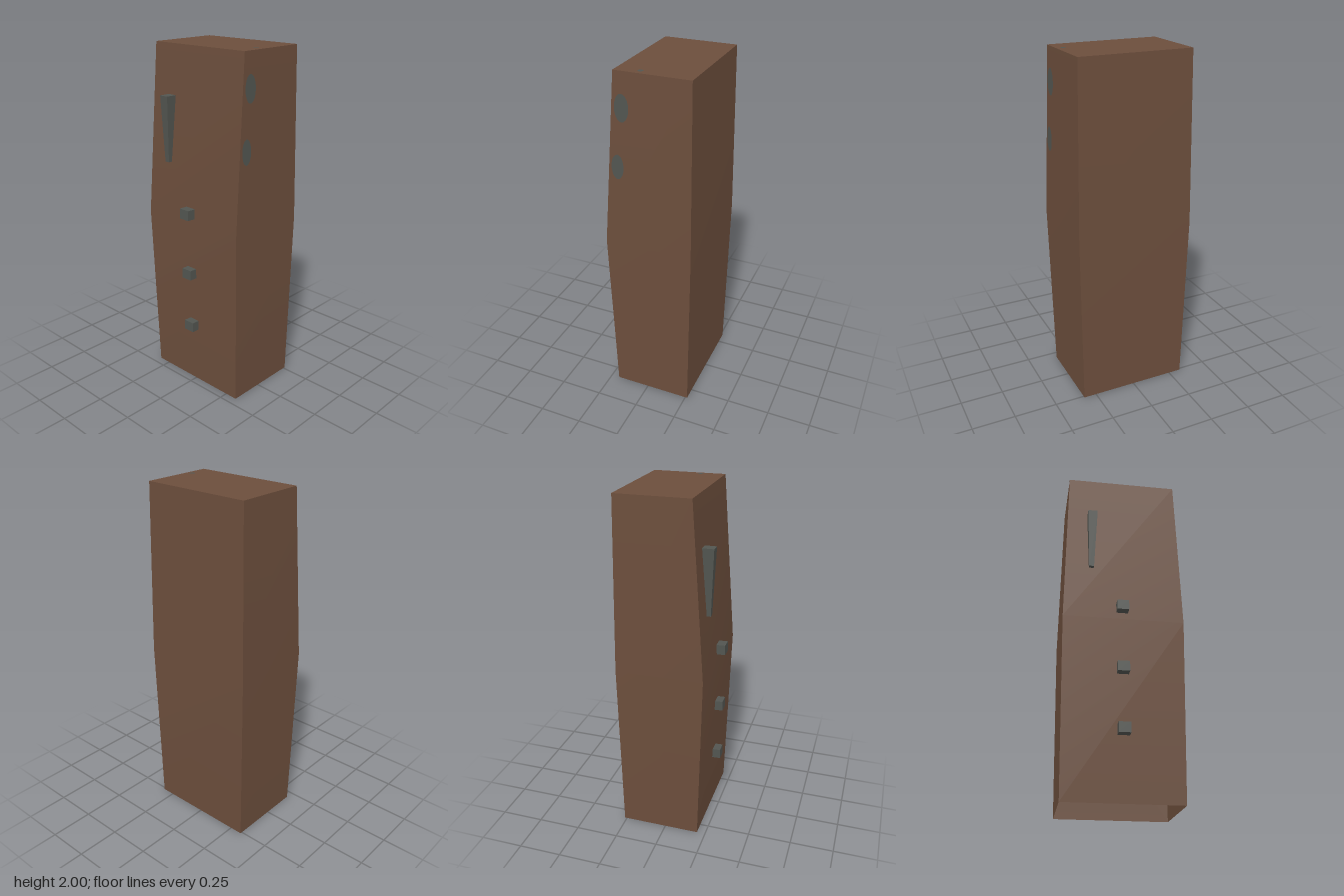
import * as THREE from 'three';

// Solid lofted between four-corner sections [y, x0, x1, z0, z1], smooth along its height, sharp at its corners.
function loft(sections, closeBottom) {
  const pos = [], index = [];
  const corners = ([y, x0, x1, z0, z1]) => [[x0, y, z1], [x1, y, z1], [x1, y, z0], [x0, y, z0]];
  const rings = sections.map(corners);
  for (let side = 0; side < 4; side++) {
    const base = pos.length / 3;
    for (const ring of rings) pos.push(...ring[side], ...ring[(side + 1) % 4]);
    for (let r = 0; r < rings.length - 1; r++) {
      const a = base + r * 2;
      index.push(a, a + 1, a + 3, a, a + 3, a + 2);
    }
  }
  const cap = (ring) => {
    const b = pos.length / 3;
    for (const p of ring) pos.push(...p);
    index.push(b, b + 1, b + 2, b, b + 2, b + 3);
  };
  cap(rings[rings.length - 1]);
  if (closeBottom) cap([...rings[0]].reverse());
  const geometry = new THREE.BufferGeometry();
  geometry.setAttribute('position', new THREE.Float32BufferAttribute(pos, 3));
  geometry.setIndex(index);
  geometry.computeVertexNormals();
  return geometry;
}

export function createModel() {
  const group = new THREE.Group();
  const brown = new THREE.MeshStandardMaterial({ name: 'brown', color: 0x6c4e3c, side: THREE.DoubleSide });
  const grey = new THREE.MeshStandardMaterial({ name: 'grey', color: 0x525550 });

  const add = (name, geometry, material) => {
    const mesh = new THREE.Mesh(geometry, material);
    mesh.name = name;
    group.add(mesh);
    return mesh;
  };

  // Bulging body, open underneath
  add('body', loft([
    [0, -0.325, 0.325, -0.262, 0.2],
    [1.02, -0.342, 0.342, -0.275, 0.228],
    [2, -0.325, 0.325, -0.262, 0.158],
  ], false), brown);

  // Tapered clip on the upper front
  add('clip', loft([
    [1.35, -0.2, -0.172, 0.203, 0.227],
    [1.725, -0.213, -0.157, 0.177, 0.242],
  ], true), grey);

  // Row of studs down the front
  for (const [x, y, z] of [[-0.009, 1.088, 0.245], [-0.005, 0.722, 0.238], [0, 0.383, 0.23]]) {
    const stud = add('stud', new THREE.BoxGeometry(0.066, 0.058, 0.056), grey);
    stud.position.set(x, y, z);
    stud.rotation.x = -0.03;
  }

  // Oval marks on the left side, lying on its slope
  for (const [y, z, w, h] of [[1.81, 0.115, 0.08, 0.15], [1.485, 0.145, 0.07, 0.14]]) {
    const oval = add('sideMark', new THREE.CircleGeometry(0.5, 20).scale(w, h, 1).rotateY(Math.PI / 2), grey);
    oval.position.set(0.325 + (2 - y) * 0.0173 + 0.002, y, z);
    oval.rotation.z = 0.0173;
  }

  // Small round mark on the top
  const dot = add('topMark', new THREE.CircleGeometry(0.015, 16).rotateX(-Math.PI / 2), grey);
  dot.position.set(0.286, 2.001, 0.025);

  return group;
}
